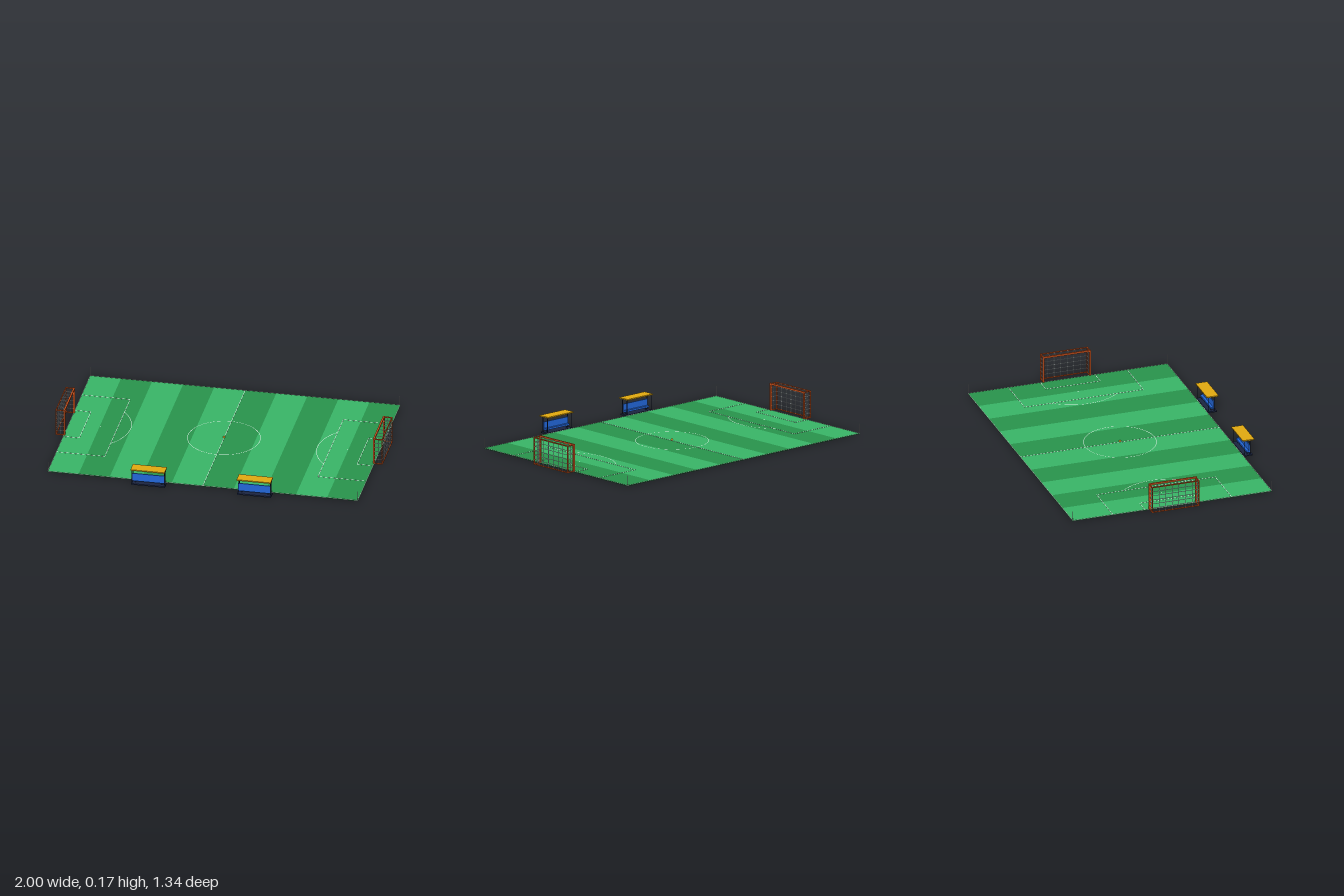
import * as THREE from 'three';

const mat = (color) => new THREE.MeshStandardMaterial({ color });
const M = {
  light: mat(0x38b466), dark: mat(0x28934c), line: mat(0xdfeee4), frame: mat(0xd9581f),
  net: mat(0xcfd8dc), blue: mat(0x2266d8), navy: mat(0x1a2440), roof: mat(0xe0a810),
  ball: mat(0xf0c830), flag: mat(0xd9581f), pole: mat(0xe8e8e8),
};
const CZ = -0.037;            // pitch centre in z
const HX = 0.95, HZ = 0.634;  // pitch half sizes
const TOP = 0.006;            // turf height

// Box given by its minimum and maximum corners
function box(parent, name, material, [x0, y0, z0], [x1, y1, z1]) {
  const m = new THREE.Mesh(new THREE.BoxGeometry(x1 - x0, y1 - y0, z1 - z0), material);
  m.position.set((x0 + x1) / 2, (y0 + y1) / 2, (z0 + z1) / 2);
  m.name = name;
  parent.add(m);
  return m;
}

// Square bar along an axis-aligned segment
function bar(parent, name, material, a, b, t) {
  const lo = a.map((v, i) => Math.min(v, b[i]) - t / 2);
  const hi = a.map((v, i) => Math.max(v, b[i]) + t / 2);
  return box(parent, name, material, lo, hi);
}

function createPitch() {
  const pitch = new THREE.Group();
  pitch.name = 'pitch';
  const w = HX * 2 / 10;
  for (let i = 0; i < 10; i++) {
    box(pitch, 'turfStripe', i % 2 ? M.dark : M.light,
      [-HX + i * w, 0.002, -HZ], [-HX + (i + 1) * w, TOP, HZ]);
  }

  // Painted lines
  const t = 0.003, y = TOP + 0.0004;
  const line = (x0, z0, x1, z1) => bar(pitch, 'fieldLine', M.line, [x0, y, z0], [x1, y, z1], t)
    .scale.setY(0.3);
  const arc = (name, x, r, start, length) => {
    const m = new THREE.Mesh(new THREE.RingGeometry(r - t / 2, r + t / 2, 64, 1, start, length), M.line);
    m.rotation.x = -Math.PI / 2;
    m.position.set(x, y + 0.0005, 0);
    m.name = name;
    pitch.add(m);
  };
  const e = t / 2;
  line(0, -HZ + e, 0, HZ - e);
  arc('centreCircle', 0, 0.219, 0, Math.PI * 2);
  for (const s of [-1, 1]) {
    line(-HX + e, s * (HZ - e), HX - e, s * (HZ - e));
    line(s * (HX - e), -HZ + e, s * (HX - e), HZ - e);
    for (const [x, hz] of [[0.652, 0.377], [0.85, 0.173]]) {
      line(s * x, -hz, s * x, hz);
      for (const q of [-1, 1]) line(s * x, q * hz, s * (HX - e), q * hz);
    }
    const half = Math.asin(0.208 / 0.31);
    arc('penaltyArc', s * 0.882, 0.31, (s > 0 ? Math.PI : 0) - half, half * 2);
    const spot = new THREE.Mesh(new THREE.CircleGeometry(0.004, 12), M.line);
    spot.rotation.x = -Math.PI / 2;
    spot.position.set(s * 0.755, y + 0.0005, 0);
    spot.name = 'penaltySpot';
    pitch.add(spot);

    // Corner flags
    for (const q of [-1, 1]) {
      const pole = new THREE.Mesh(new THREE.CylinderGeometry(0.0015, 0.0015, 0.06, 6), M.pole);
      pole.position.set(s * (HX - 0.003), TOP + 0.03, q * (HZ - 0.003));
      pole.name = 'cornerPole';
      pitch.add(pole);
    }
  }
  pitch.position.z = CZ;
  return pitch;
}

// Goal opening towards -x, centred on z = 0; x runs from the mouth to the back
function createGoal() {
  const goal = new THREE.Group();
  goal.name = 'goal';
  const P = 0.01, B = 0.006, N = 0.0025;
  const xf = 0.946, xb = 0.996, h = 0.169, hz = 0.147, y0 = TOP;
  bar(goal, 'crossbar', M.frame, [xf, h, -hz], [xf, h, hz], P);
  bar(goal, 'backTopRail', M.frame, [xb, h, -hz], [xb, h, hz], B);
  bar(goal, 'backGroundRail', M.frame, [xb, y0, -hz], [xb, y0, hz], B);
  for (const s of [-1, 1]) {
    const z = s * hz;
    bar(goal, 'post', M.frame, [xf, y0 + 0.003, z], [xf, h, z], P);
    bar(goal, 'backPost', M.frame, [xb, y0, z], [xb, h, z], B);
    bar(goal, 'topSideRail', M.frame, [xf, h, z], [xb, h, z], B);
    bar(goal, 'groundSideRail', M.frame, [xf, y0, z], [xb, y0, z], B);
    // Side net
    const xm = (xf + xb) / 2;
    bar(goal, 'sideNet', M.net, [xm, y0, z], [xm, h, z], N);
  }
  // Horizontal net cords round the back and sides
  for (let i = 1; i < 6; i++) {
    const y = y0 + (h - y0) * i / 6;
    bar(goal, 'backNet', M.net, [xb, y, -hz], [xb, y, hz], N);
    for (const s of [-1, 1]) bar(goal, 'sideNet', M.net, [xf, y, s * hz], [xb, y, s * hz], N);
  }
  // Vertical net cords with their continuation over the roof
  for (let i = 1; i < 7; i++) {
    const z = -hz + 2 * hz * i / 7;
    bar(goal, 'backNet', M.net, [xb, y0, z], [xb, h, z], N);
    bar(goal, 'topNet', M.net, [xf, h, z], [xb, h, z], N);
  }
  return goal;
}

// Team shelter, centred on x = 0, open towards the pitch
function createShelter() {
  const shelter = new THREE.Group();
  shelter.name = 'teamShelter';
  const w = 0.104;
  box(shelter, 'base', M.navy, [-w, 0, 0.6], [w, 0.008, 0.656]);
  box(shelter, 'roof', M.roof, [-w, 0.1, 0.593], [w, 0.107, 0.667]);
  box(shelter, 'backPanel', M.blue, [-w + 0.005, 0.02, 0.635], [w - 0.005, 0.07, 0.641]);
  box(shelter, 'benchSeat', M.blue, [-w + 0.007, 0.02, 0.62], [w - 0.007, 0.031, 0.635]);
  for (const s of [-1, 1]) {
    bar(shelter, 'backPost', M.navy, [s * 0.099, 0.008, 0.641], [s * 0.099, 0.1, 0.641], 0.004);
    bar(shelter, 'frontPost', M.navy, [s * 0.099, 0.008, 0.603], [s * 0.099, 0.1, 0.603], 0.003);
    box(shelter, 'benchLeg', M.navy, [s * 0.08 - 0.003, 0.008, 0.624], [s * 0.08 + 0.003, 0.02, 0.632]);
  }
  return shelter;
}

export function createModel() {
  const model = new THREE.Group();
  model.name = 'footballPitch';
  model.add(createPitch());

  const leftGoal = createGoal();
  leftGoal.name = 'leftGoal';
  leftGoal.position.z = -0.044;
  const rightGoal = createGoal();
  rightGoal.name = 'rightGoal';
  rightGoal.rotation.y = Math.PI;
  rightGoal.position.z = -0.033;
  model.add(leftGoal, rightGoal);

  for (const x of [-0.324, 0.325]) {
    const shelter = createShelter();
    shelter.position.x = x;
    model.add(shelter);
  }

  // Ball on the centre spot
  const ball = new THREE.Mesh(new THREE.SphereGeometry(0.007, 16, 12), M.ball);
  ball.position.set(0, TOP + 0.007, CZ);
  ball.name = 'ball';
  model.add(ball);
  return model;
}
